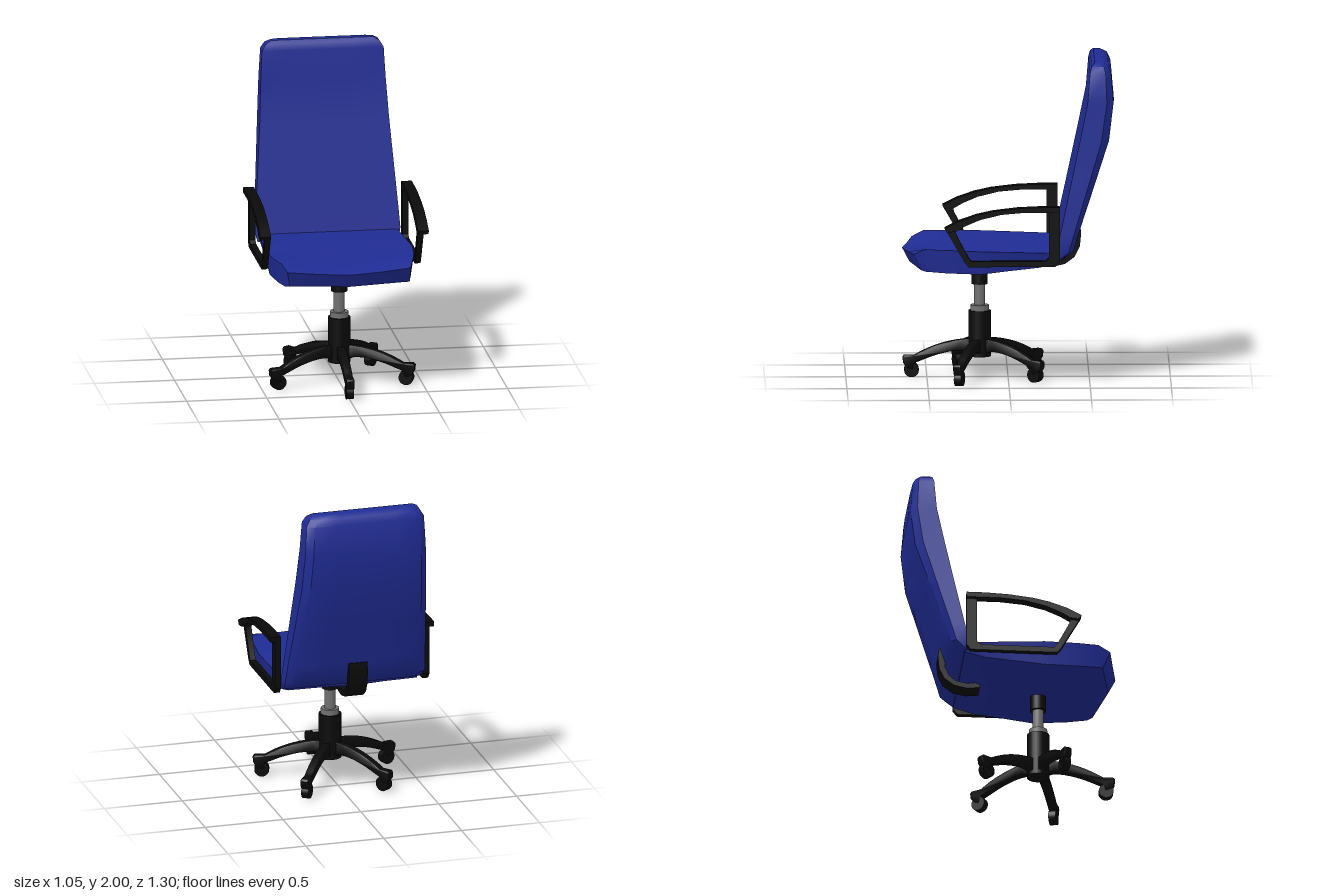
import * as THREE from 'three';
import { toCreasedNormals } from 'three/addons/utils/BufferGeometryUtils.js';

const V = (x, y, z) => new THREE.Vector3(x, y, z);

export function createModel() {
  const group = new THREE.Group();
  const mat = (name, color) => {
    const m = new THREE.MeshStandardMaterial({ color });
    m.name = name;
    return m;
  };
  const blue = mat('blue fabric', 0x202c94);
  const black = mat('black plastic', 0x0a0a0a);
  const grey = mat('grey metal', 0x707070);

  const add = (name, geometry, material, parent = group) => {
    const mesh = new THREE.Mesh(geometry, material);
    mesh.name = name;
    parent.add(mesh);
    return mesh;
  };

  // Skin over closed rings; each end is capped by strips between the ring's two halves
  function loft(rings, crease) {
    const pos = [];
    const quad = (a, b, c, d) => [a, b, c, a, c, d].forEach((v) => pos.push(v.x, v.y, v.z));
    const n = rings[0].length;
    const first = rings[0], last = rings[rings.length - 1];
    for (let i = 0; i < rings.length - 1; i++) {
      const a = rings[i], b = rings[i + 1];
      for (let j = 0; j < n; j++) quad(a[j], a[(j + 1) % n], b[(j + 1) % n], b[j]);
    }
    for (let j = 0; j < Math.floor(n / 2) - 1 + (n % 2); j++) {
      const k = n - 1 - j;
      quad(last[j], last[j + 1], last[k - 1], last[k]);
      quad(first[k], first[k - 1], first[j + 1], first[j]);
    }
    const g = new THREE.BufferGeometry();
    g.setAttribute('position', new THREE.Float32BufferAttribute(pos, 3));
    return toCreasedNormals(g, crease);
  }

  // Side outline given as [z, y], extruded from x0 to x1
  function sidePlate(points, hole, x0, x1) {
    const toV2 = (list) => list.map(([z, y]) => new THREE.Vector2(-z, y));
    const shape = new THREE.Shape(toV2(points));
    if (hole) shape.holes.push(new THREE.Path(toV2(hole)));
    const g = new THREE.ExtrudeGeometry(shape, { depth: x1 - x0, bevelEnabled: false });
    g.rotateY(Math.PI / 2);
    g.translate(x0, 0, 0);
    return toCreasedNormals(g, 0.6);
  }

  // Seat cushion: [z, edge setback, half width, top edge, top middle, bottom edge, bottom middle, bottom setback]
  const seatRings = [
    [-0.315, 0, 0.435, 0.83, 0.83, 0.775, 0.77, 0],
    [-0.19, 0, 0.438, 0.834, 0.836, 0.74, 0.715, 0],
    [0, 0, 0.447, 0.84, 0.842, 0.72, 0.69, 0],
    [0.175, 0, 0.456, 0.845, 0.842, 0.70, 0.667, 0],
    [0.38, 0, 0.435, 0.851, 0.832, 0.705, 0.686, 0],
    [0.525, 0.012, 0.408, 0.855, 0.818, 0.712, 0.705, 0],
    [0.653, 0.065, 0.384, 0.82, 0.806, 0.72, 0.72, 0.045],
  ].map(([z, back, w, te, tm, be, bm, low]) => {
    const us = [1, 0.5, 0, -0.5, -1];
    const top = us.map((u) => V(u * w, tm + (te - tm) * u * u, z - back * Math.abs(u)));
    const bottom = us.map((u) => V(-u * w * 0.95, bm + (be - bm) * Math.abs(u), z - low - back * Math.abs(u)));
    return [...top, ...bottom];
  });
  add('seat', loft(seatRings, 0.7), blue);

  // Backrest: [y, half width, front z, back z]
  const backRings = [
    [0.785, 0.44, -0.28, -0.32],
    [0.84, 0.452, -0.292, -0.40],
    [0.96, 0.444, -0.318, -0.437],
    [1.24, 0.423, -0.378, -0.53],
    [1.52, 0.402, -0.437, -0.622],
    [1.755, 0.389, -0.485, -0.65],
    [1.94, 0.379, -0.50, -0.634],
    [1.98, 0.355, -0.51, -0.615],
    [2.0, 0.32, -0.53, -0.58],
  ].map(([y, w, zf, zb]) => {
    const t = zf - zb;
    return [
      V(-w, y, zf), V(-w / 2, y, zf), V(0, y, zf), V(w / 2, y, zf), V(w, y, zf),
      V(w - 0.003, y, zf - t * 0.72), V(w - 0.045, y, zb + t * 0.03), V(w / 2, y, zb),
      V(-w / 2, y, zb), V(-w + 0.045, y, zb + t * 0.03), V(-w + 0.003, y, zf - t * 0.72),
    ];
  });
  add('backrest', loft(backRings, 0.7), blue);

  // Curved bracket joining seat and backrest
  add('backBracket', sidePlate([
    [-0.19, 0.70], [-0.27, 0.692], [-0.35, 0.71], [-0.41, 0.755], [-0.442, 0.82],
    [-0.45, 0.90], [-0.442, 0.957], [-0.40, 0.96], [-0.41, 0.90], [-0.405, 0.83],
    [-0.38, 0.775], [-0.34, 0.74], [-0.27, 0.725], [-0.19, 0.73],
  ], null, -0.06, 0.06), black);

  // Armrests: a slim side frame with a wider curved pad on top
  const padTop = [[0.398, 1.0], [0.31, 1.045], [0.2, 1.083], [0.1, 1.105], [-0.05, 1.123], [-0.2, 1.13], [-0.312, 1.13]];
  const padUnder = [[-0.245, 1.098], [-0.1, 1.098], [0.05, 1.085], [0.18, 1.053], [0.27, 1.015], [0.33, 0.98]];
  const frame = [...padTop, [-0.312, 0.79], [-0.285, 0.755], [0.25, 0.755], [0.272, 0.78]];
  const opening = [...padUnder, [0.325, 0.955], [0.25, 0.81], [0.232, 0.79], [-0.22, 0.79], [-0.245, 0.81]];
  const pad = [...padTop, [-0.312, 1.098], ...padUnder, [0.385, 0.975]];
  for (const [side, s] of [['left', 1], ['right', -1]]) {
    const span = (a, b) => (s > 0 ? [a, b] : [-b, -a]);
    add(side + 'ArmFrame', sidePlate(frame, opening, ...span(0.458, 0.495)), black);
    add(side + 'ArmPad', sidePlate(pad, null, ...span(0.46, 0.525)), black);
  }

  // Central column
  const base = new THREE.Group();
  base.name = 'base';
  base.position.z = 0.175;
  group.add(base);
  const column = (name, r, y0, y1, material) => {
    const g = new THREE.CylinderGeometry(r, r, y1 - y0, 24);
    g.translate(0, (y0 + y1) / 2, 0);
    add(name, g, material, base);
  };
  column('hub', 0.07, 0.13, 0.415, black);
  column('collar', 0.057, 0.415, 0.45, grey);
  column('gasLift', 0.034, 0.45, 0.58, grey);
  column('seatMount', 0.05, 0.58, 0.70, black);

  // Five arched legs with casters
  const legShape = new THREE.Shape();
  legShape.moveTo(0.02, 0.24);
  legShape.lineTo(0.1, 0.237);
  legShape.bezierCurveTo(0.22, 0.225, 0.32, 0.185, 0.40, 0.138);
  legShape.lineTo(0.465, 0.138);
  legShape.lineTo(0.476, 0.125);
  legShape.lineTo(0.472, 0.09);
  legShape.lineTo(0.45, 0.06);
  legShape.lineTo(0.415, 0.05);
  legShape.lineTo(0.40, 0.09);
  legShape.lineTo(0.36, 0.105);
  legShape.bezierCurveTo(0.28, 0.14, 0.18, 0.17, 0.1, 0.165);
  legShape.lineTo(0.02, 0.14);
  const legGeo = new THREE.ExtrudeGeometry(legShape, {
    depth: 0.034, curveSegments: 8, bevelThickness: 0.008, bevelSize: 0.004, bevelOffset: -0.004, bevelSegments: 2,
  });
  legGeo.translate(0, 0, -0.017);
  const legSmooth = toCreasedNormals(legGeo, 0.8);
  const wheelGeo = new THREE.CylinderGeometry(0.046, 0.046, 0.046, 20);
  wheelGeo.rotateX(Math.PI / 2);
  wheelGeo.translate(0.42, 0.047, 0);
  for (let i = 0; i < 5; i++) {
    const leg = new THREE.Group();
    leg.name = 'leg' + (i + 1);
    leg.rotation.y = -Math.PI / 2 + (i * Math.PI * 2) / 5;
    base.add(leg);
    add('legArm', legSmooth, black, leg);
    add('casterWheel', wheelGeo, black, leg);
  }

  return group;
}
